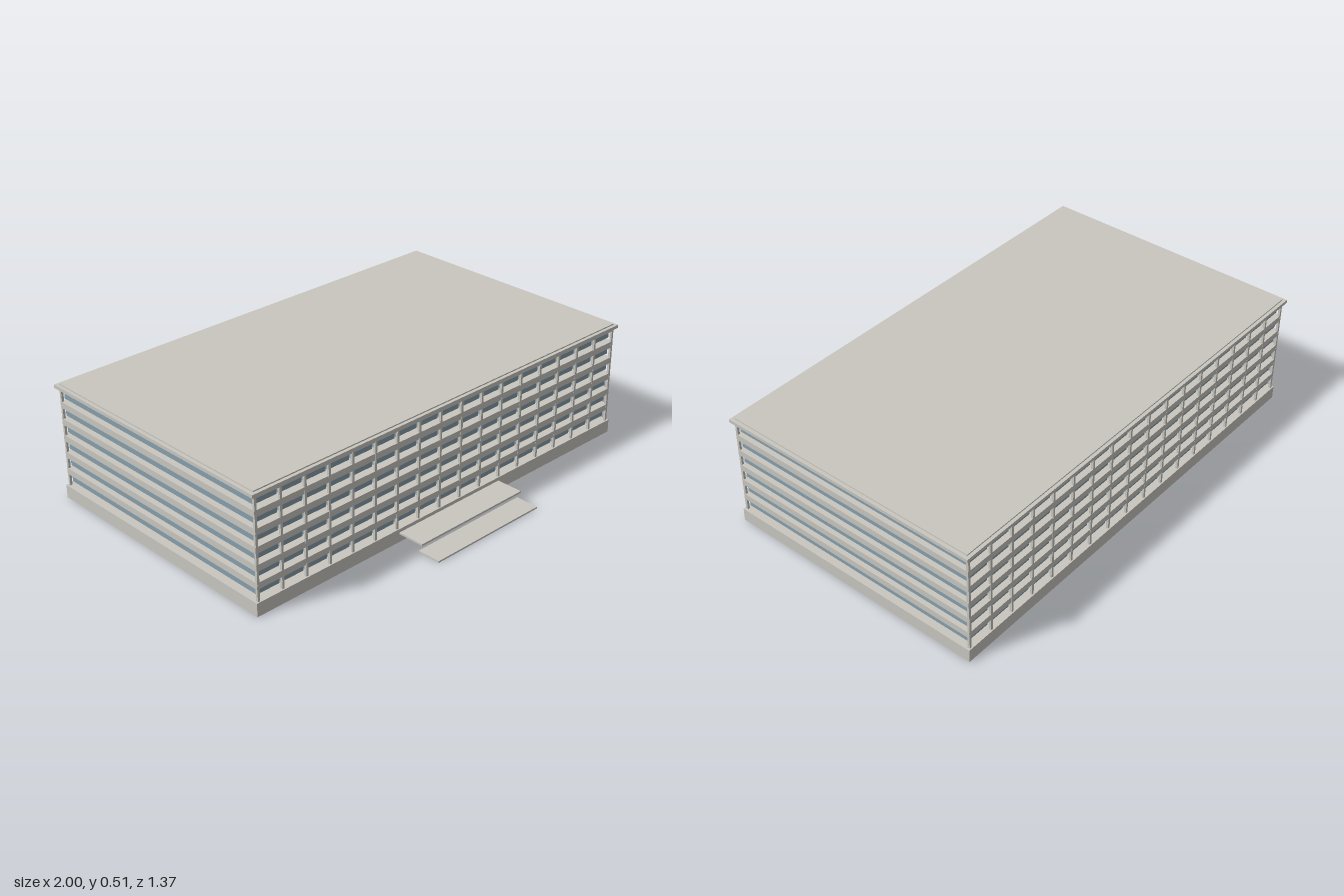
import * as THREE from 'three';

export function createModel() {
  const model = new THREE.Group();
  model.name = 'officeBlock';

  const concrete = new THREE.MeshStandardMaterial({ color: 0xc8c6bf });
  concrete.name = 'concrete';
  const glass = new THREE.MeshStandardMaterial({ color: 0x869fab });
  glass.name = 'glass';

  // Box given by its min and max on each axis
  const box = (name, material, [x0, x1], [y0, y1], [z0, z1], parent = model) => {
    const mesh = new THREE.Mesh(new THREE.BoxGeometry(x1 - x0, y1 - y0, z1 - z0), material);
    mesh.name = name;
    mesh.position.set((x0 + x1) / 2, (y0 + y1) / 2, (z0 + z1) / 2);
    parent.add(mesh);
  };

  const midZ = -0.097;
  const across = (h) => [-h, h];
  const deep = (h) => [midZ - h, midZ + h];
  const baseTop = 0.057;
  const storeys = 6;
  const storeyHeight = 0.0734;
  const bays = 17;
  const bayWidth = 1.958 / bays;

  // Plinth
  box('plinth', concrete, across(0.993), [0, baseTop], deep(0.579));

  // Floor bands and glazed bays hanging beneath them
  const floors = new THREE.Group();
  floors.name = 'floors';
  model.add(floors);
  for (let i = 0; i < storeys; i++) {
    const under = 0.108 + i * storeyHeight;
    const top = i === storeys - 1 ? 0.488 : under + 0.027;
    box('floorBand', concrete, across(0.985), [under, top], deep(0.573), floors);
    for (let b = 0; b < bays; b++) {
      const x = (b - (bays - 1) / 2) * bayWidth;
      box('windowBay', glass, [x - 0.053, x + 0.053], [under - 0.032, under], deep(0.557), floors);
    }
  }

  // Slim columns along the front and back
  const columns = new THREE.Group();
  columns.name = 'columns';
  model.add(columns);
  for (let b = 0; b <= bays; b++) {
    const x = (b - bays / 2) * bayWidth;
    for (const side of [-1, 1]) {
      const z = midZ + side * 0.5685;
      box('column', concrete, [x - 0.005, x + 0.005], [baseTop, 0.488], [z - 0.005, z + 0.005], columns);
    }
  }

  // Overhanging roof slab with a thin raised deck
  box('roofSlab', concrete, across(1), [0.488, 0.502], deep(0.584));
  box('roofDeck', concrete, across(0.985), [0.502, 0.507], deep(0.57));

  // Entrance landing and the low step before it
  box('entranceLanding', concrete, across(0.282), [0.034, 0.042], [0.48, 0.6]);
  box('entranceStep', concrete, across(0.282), [0, 0.007], [0.583, 0.686]);

  return model;
}
